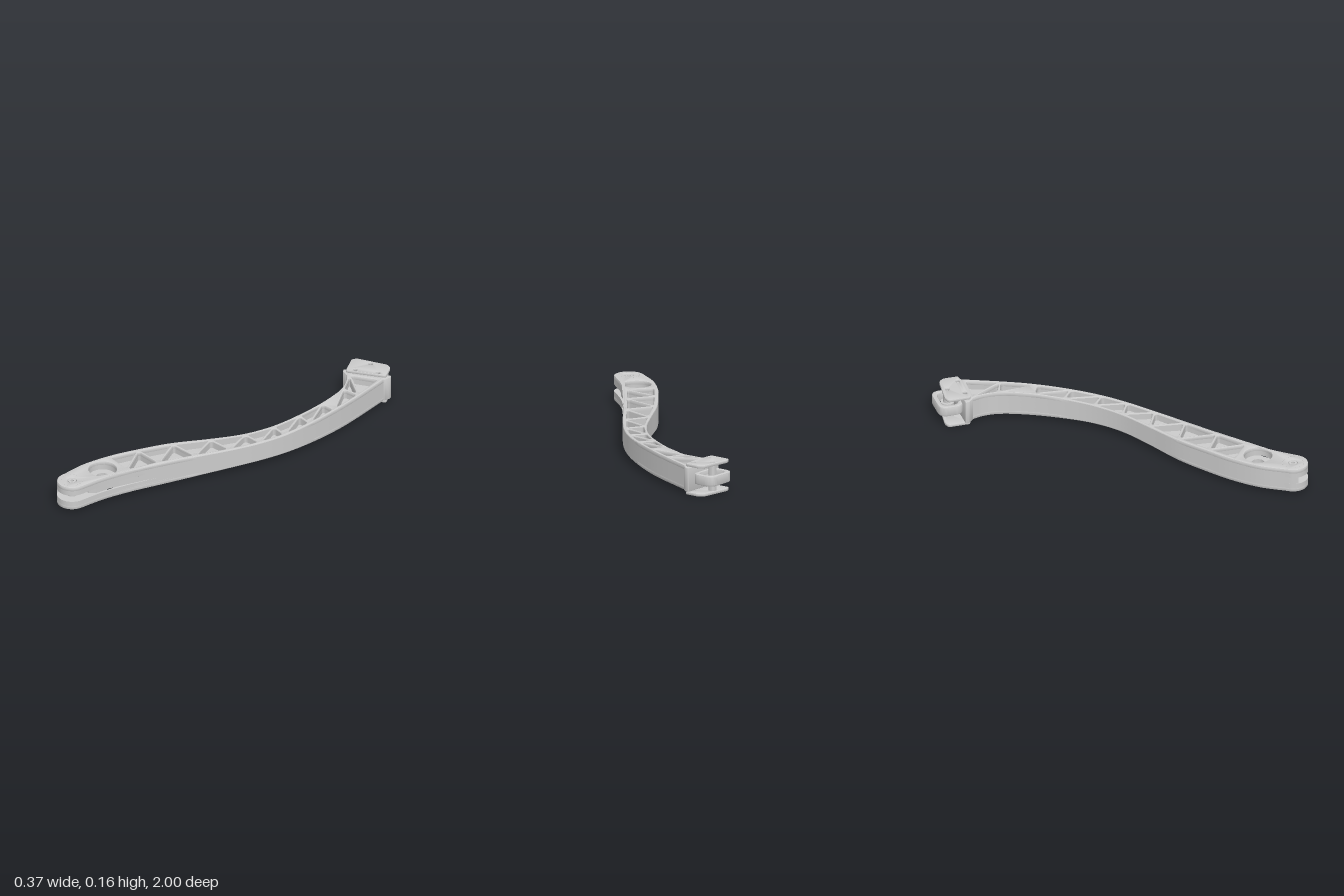
import * as THREE from 'three';
import { toCreasedNormals } from 'three/addons/utils/BufferGeometryUtils.js';

const MID = 0.0825;                       // height of the arm's middle plane
const PIVOT = [-0.07, 0.922], BORE = [-0.07, 0.735];
const V = (x, y) => new THREE.Vector2(x, y);
const material = new THREE.MeshStandardMaterial({ color: 0xcccccc });

// Matching points along both sides of the arm: left x, z, right x, z
const stations = [
  [-0.145, 0.922, 0.005, 0.922], [-0.164, 0.78, 0.005, 0.78], [-0.152, 0.62, 0.025, 0.62],
  [-0.125, 0.49, 0.056, 0.47], [-0.08, 0.31, 0.1, 0.28], [-0.01, 0.13, 0.142, 0.1],
  [0.05, -0.04, 0.172, -0.06], [0.075, -0.2, 0.183, -0.2], [0.07, -0.36, 0.173, -0.36],
  [0.045, -0.53, 0.142, -0.55], [0.0, -0.67, 0.105, -0.7], [-0.05, -0.74, 0.07, -0.82],
  [-0.11, -0.785, 0.045, -0.905],
];
const LAST = stations.length - 1;
const side = (k) => new THREE.CatmullRomCurve3(stations.map((s) => new THREE.Vector3(s[k], 0, s[k + 1])));
const leftSide = side(0), rightSide = side(2);

// Point at station t, fraction f from the low-x side to the high-x side
function at(t, f) {
  const p = leftSide.getPoint(t / LAST).lerp(rightSide.getPoint(t / LAST), f);
  return V(p.x, p.z);
}

function add(parent, geometry, name) {
  const mesh = new THREE.Mesh(geometry, material);
  mesh.name = name;
  parent.add(mesh);
  return mesh;
}

// Points from (x, z) to the extrusion plane, always counter-clockwise
function flip(points) {
  const pts = points.map((p) => V(p.x, -p.y));
  return THREE.ShapeUtils.isClockWise(pts) ? pts.reverse() : pts;
}

// Extrude a plan outline given in (x, z) upward from y0 to y1
function slab(points, holes, y0, y1, bevel = 0) {
  const shape = new THREE.Shape(flip(points));
  shape.holes = holes.map((h) => new THREE.Path(flip(h)));
  const g = new THREE.ExtrudeGeometry(shape, {
    depth: y1 - y0 - 2 * bevel, bevelEnabled: bevel > 0, bevelSize: bevel,
    bevelThickness: bevel, bevelOffset: -bevel, bevelSegments: 2,
  });
  return g.rotateX(-Math.PI / 2).translate(0, y0 + bevel, 0);
}
const smooth = (g) => toCreasedNormals(g, 0.42);

// Thin the arm vertically toward the middle of its length
function waist(g) {
  const p = g.attributes.position;
  for (let i = 0; i < p.count; i++) {
    const d = Math.min(1, Math.abs(p.getZ(i) + 0.04) / 0.6);
    const s = 1 - 0.095 * (1 + Math.cos(Math.PI * d));
    p.setY(i, MID + (p.getY(i) - MID) * s);
  }
  return smooth(g);
}

function circle([x, z], r, n = 40) {
  return Array.from({ length: n }, (_, i) => {
    const a = (i / n) * Math.PI * 2;
    return V(x + r * Math.cos(a), z + r * Math.sin(a));
  });
}

// Replace every corner of a polygon by a short curve
function rounded(pts, r) {
  return pts.flatMap((p, i) => {
    const ends = [pts.at(i - 1), pts[(i + 1) % pts.length]].map((q) =>
      p.clone().lerp(q, Math.min(0.45, r / p.distanceTo(q))));
    return new THREE.QuadraticBezierCurve(ends[0], p, ends[1]).getPoints(8);
  });
}

// Triangle moved inward by d on each edge, with rounded corners
function pocket(a, b, c, d) {
  const la = b.distanceTo(c), lb = a.distanceTo(c), lc = a.distanceTo(b), sum = la + lb + lc;
  const centre = V((a.x * la + b.x * lb + c.x * lc) / sum, (a.y * la + b.y * lb + c.y * lc) / sum);
  const area = Math.abs((b.x - a.x) * (c.y - a.y) - (c.x - a.x) * (b.y - a.y)) / 2;
  const k = 1 - (d * sum) / (2 * area);
  return rounded([a, b, c].map((p) => p.clone().sub(centre).multiplyScalar(k).add(centre)), 0.02);
}

function tube(inner, outer, h) {
  const pts = [[inner, -h / 2], [outer, -h / 2], [outer, h / 2], [inner, h / 2], [inner, -h / 2]];
  return smooth(new THREE.LatheGeometry(pts.map((p) => V(...p)), 32));
}

function buildArm(root) {
  const arm = new THREE.Group();
  arm.name = 'arm';
  root.add(arm);
  const run = (f, from, to, n) => Array.from({ length: n + 1 }, (_, i) => at(from + ((to - from) * i) / n, f));

  // Full outline: low-x side backward, high-x side forward, round nose
  const nose = circle(PIVOT, 0.075, 48).slice(1, 24);
  const outline = [...run(0, 0, LAST, 72), ...run(1, LAST, 0, 72), ...nose];

  // Truss pockets: each cell is split by one diagonal rib
  const cells = [1.85, 3, 4, 5, 6, 7, 8, 8.9, 10.1, 11.8];
  const holes = [];
  for (let i = 0; i + 1 < cells.length; i++) {
    const [s, e] = [cells[i], cells[i + 1]], lo = 0.08, hi = 0.92;
    holes.push(pocket(at(s, lo), at(s, hi), at(e, lo), 0.006));
    holes.push(pocket(at(e, lo), at(e, hi), at(s, hi), 0.006));
  }
  holes.push(circle(BORE, 0.07), circle(PIVOT, 0.022));
  // Square-edged walls, with rounded rims sunk into them
  add(arm, waist(slab(outline, holes, 0.1, 0.126)), 'upperTruss');
  add(arm, waist(slab(outline, holes, 0.12, 0.146, 0.006)), 'upperRim');
  add(arm, waist(slab(outline, holes, 0.039, 0.065)), 'lowerTruss');
  add(arm, waist(slab(outline, holes, 0.019, 0.045, 0.006)), 'lowerRim');

  // Web between the trusses, cut back for the front slot
  const slot = [[0.034, 0.56], [0.01, 0.66], [-0.005, 0.74], [-0.008, 0.82], [-0.03, 0.848],
    [-0.075, 0.855], [-0.11, 0.88], [-0.125, 0.92], [-0.125, 0.973], [-0.14, 0.949]].map((p) => V(...p));
  const web = [...run(0, 0, LAST, 72), ...run(1, LAST, 3, 54), ...slot];
  add(arm, waist(slab(web, [circle(BORE, 0.034)], 0.065, 0.1)), 'web');
}

function buildPivot(root) {
  const pivot = new THREE.Group();
  pivot.name = 'frontPivot';
  pivot.position.set(PIVOT[0], MID, PIVOT[1]);
  root.add(pivot);
  add(pivot, tube(0.009, 0.02, 0.122), 'pivotPin');
  add(pivot, tube(0.019, 0.025, 0.035), 'pivotRoller');
  // Ring of shallow index ticks on both faces
  for (const s of [1, -1]) {
    for (let i = 0; i < 24; i++) {
      const a = (i / 24) * Math.PI * 2;
      const tick = add(pivot, new THREE.BoxGeometry(0.003, 0.002, 0.008), 'indexTick');
      tick.position.set(0.053 * Math.cos(a), s * 0.0632, 0.053 * Math.sin(a));
      tick.rotation.y = -a;
    }
  }
}

function buildBracket(root) {
  // Local x runs along the slanted end of the arm, local -z points outward
  const bracket = new THREE.Group();
  bracket.name = 'rearBracket';
  bracket.position.set(-0.034, 0, -0.847);
  bracket.rotation.y = 0.69;
  root.add(bracket);
  const plan = (pts) => pts.map(([u, n]) => V(u, -n));
  const boltHoles = [-0.058, 0.058].map((u) => circle([u, -0.016], 0.011, 20));
  const pin = [0, -0.09];

  // End wall flaring out of the arm's sides
  const wall = rounded(plan([[-0.098, -0.014], [0.098, -0.014], [0.122, 0.014],
    [0.122, 0.033], [-0.122, 0.033], [-0.122, 0.014]]), 0.006);
  add(bracket, smooth(slab(wall, boltHoles, 0.021, 0.144, 0.003)), 'endWall');

  const plate = rounded(plan([[-0.104, 0], [0.104, 0], [0.106, 0.08], [0.085, 0.106],
    [-0.075, 0.126], [-0.102, 0.114]]), 0.012);
  const plateHoles = [...boltHoles, circle(pin, 0.011, 20)];
  add(bracket, smooth(slab(plate, plateHoles, 0.145, 0.16, 0.004)), 'upperPlate');
  add(bracket, smooth(slab(plate, plateHoles, 0.001, 0.016, 0.004)), 'lowerPlate');

  // Rounded loop between the plates and the hollow pin inside it
  const loop = rounded(plan([[-0.087, 0.025], [0.087, 0.025], [0.087, 0.154], [-0.087, 0.154]]), 0.048);
  const opening = rounded(plan([[-0.062, 0.045], [0.062, 0.045], [0.062, 0.131], [-0.062, 0.131]]), 0.035);
  add(bracket, smooth(slab(loop, [opening], 0.055, 0.108, 0.007)), 'loop');
  add(bracket, tube(0.011, 0.02, 0.134), 'loopPin').position.set(pin[0], 0.0805, pin[1]);
  add(bracket, tube(0.019, 0.034, 0.02), 'pinCollar').position.set(pin[0], 0.0805, pin[1]);
}

export function createModel() {
  const root = new THREE.Group();
  root.name = 'curvedTrussArm';
  buildArm(root);
  buildPivot(root);
  buildBracket(root);
  return root;
}
